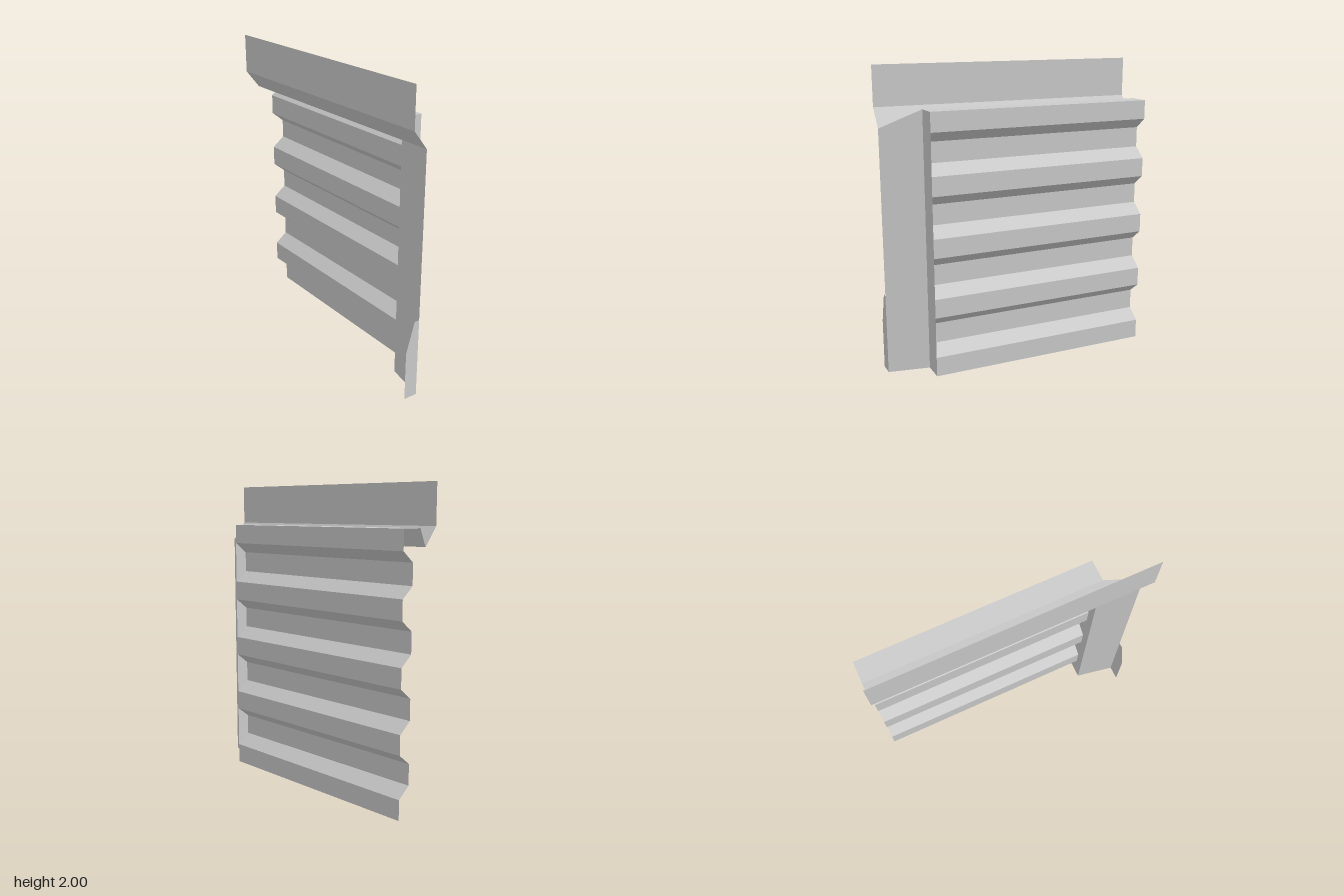
import * as THREE from 'three';

const material = new THREE.MeshStandardMaterial({ color: 0xcccccc, flatShading: true, side: THREE.DoubleSide });

const LEFT = 0.905, RIGHT = -0.905; // outer ends in x
const JAMB = 0.635;                 // inner edge of the corner post
const FRONT = 0.145, BACK = -0.145, RIDGE = -0.06;
const LIP = 0.05;                   // depth of the outer frame edge
const TOP = 1.73, SILL = 1.62;

// Thin folded sheet spanned between two matching polylines of [x, y, z] points
function sheet(name, a, b) {
  const pos = [];
  for (let i = 0; i < a.length - 1; i++) {
    pos.push(...a[i], ...b[i], ...b[i + 1], ...a[i], ...b[i + 1], ...a[i + 1]);
  }
  const geo = new THREE.BufferGeometry();
  geo.setAttribute('position', new THREE.Float32BufferAttribute(pos, 3));
  geo.computeVertexNormals();
  const mesh = new THREE.Mesh(geo, material);
  mesh.name = name;
  return mesh;
}

// Sheet with a constant [y, z] profile running along x
const alongX = (name, profile, x0, x1) =>
  sheet(name, profile.map(([y, z]) => [x0, y, z]), profile.map(([y, z]) => [x1, y, z]));

export function createModel() {
  const group = new THREE.Group();

  // Corrugated panel: four raised ribs on a recessed back plane
  const ribs = [[0, BACK]];
  for (let i = 0; i < 4; i++) {
    const y = i * 0.4;
    ribs.push([y + 0.13, BACK], [y + 0.2, RIDGE], [y + 0.335, RIDGE], [y + 0.403, BACK]);
  }
  ribs.push([TOP, BACK]);
  group.add(alongX('corrugatedPanel', ribs, RIGHT, JAMB));

  // Upper fascia board with its underside sloping back to the frame
  group.add(alongX('fascia', [[SILL, LIP], [1.74, FRONT], [2, FRONT]], RIGHT, LEFT));

  // Head of the frame: reveal over the panel, then a sloped strip mitred at the post
  group.add(sheet('headFrame',
    [[RIGHT, SILL, LIP], [RIGHT, TOP, 0], [RIGHT, TOP, BACK]],
    [[LEFT, SILL, LIP], [JAMB, TOP, 0], [JAMB, TOP, BACK]]));

  // Corner post: reveal beside the panel, then a slightly splayed face
  group.add(sheet('cornerPost',
    [[JAMB, 0, BACK], [JAMB, 0, 0], [LEFT, 0, LIP]].reverse(),
    [[JAMB, TOP, BACK], [JAMB, TOP, 0], [LEFT, SILL, LIP]].reverse()));

  // Low fin at the foot of the post, standing out to the front
  const shape = new THREE.Shape([[LIP, 0], [FRONT, 0], [FRONT, 0.33], [0.085, 0.535], [LIP, 0.535]]
    .map(([z, y]) => new THREE.Vector2(-z, y)));
  const fin = new THREE.Mesh(new THREE.ShapeGeometry(shape), material);
  fin.name = 'footFin';
  fin.rotation.y = Math.PI / 2;
  fin.position.x = LEFT;
  group.add(fin);

  return group;
}
